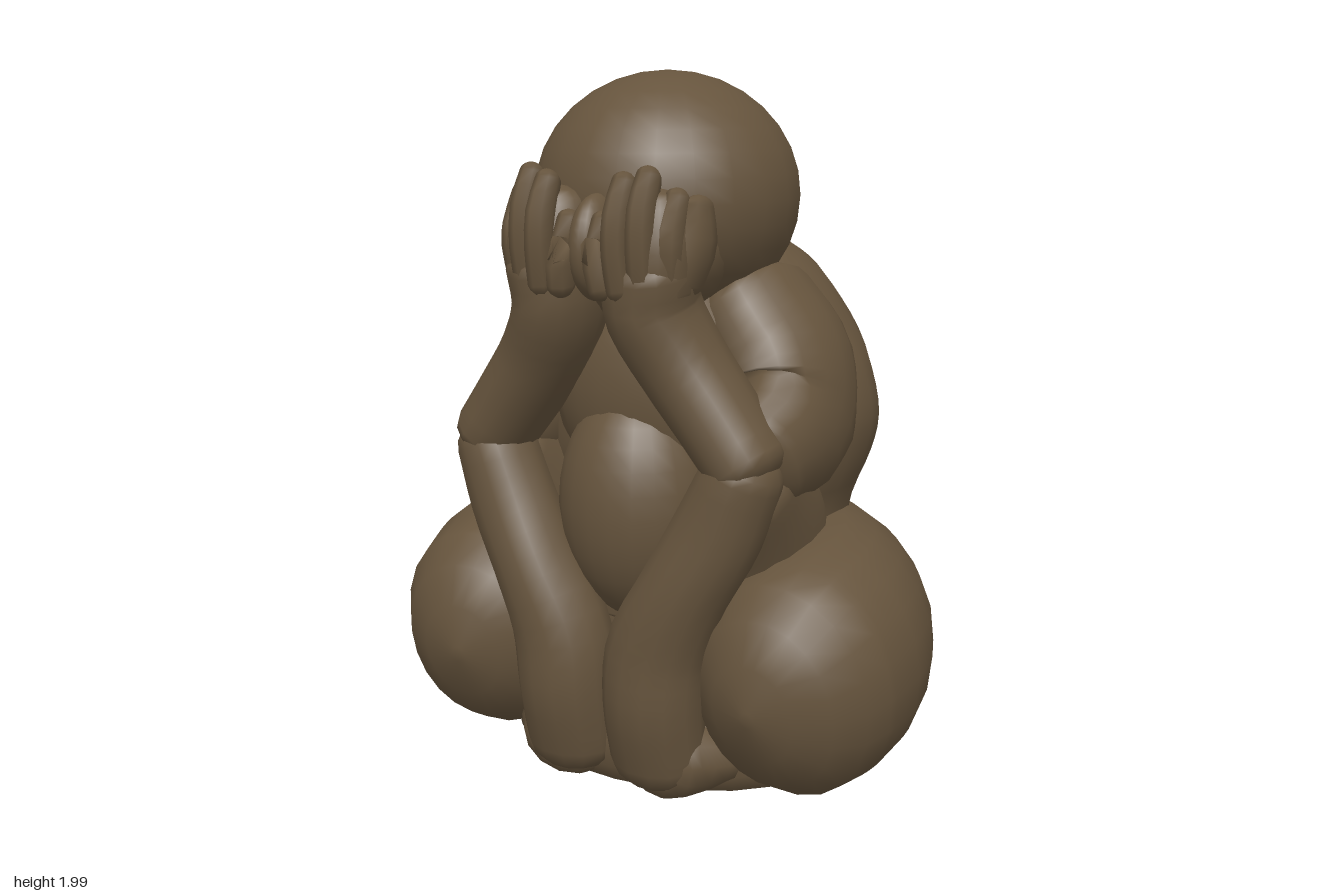
import * as THREE from 'three';

const clay = new THREE.MeshStandardMaterial({ color: 0x66543d });
clay.name = 'brown clay';

// Closed rounded sweep. rows: [x, y, z, radiusAcross, radiusOther]
function sweep(name, rows, { ref = [0, 0, 1], steps = 12, sides = 14, cap = 1, power = 2 } = {}) {
  const path = new THREE.CatmullRomCurve3(rows.map(r => new THREE.Vector3(r[0], r[1], r[2])));
  const size = new THREE.CatmullRomCurve3(rows.map((r, i) => new THREE.Vector3(r[3], r[4], i)));
  // Path parameter, cap offset and scale for each ring
  const stations = [];
  const capAngles = [86, 65, 43, 21].map(THREE.MathUtils.degToRad);
  for (const a of capAngles) stations.push([0, -Math.sin(a), Math.cos(a)]);
  for (let i = 0; i <= steps; i++) stations.push([i / steps, 0, 1]);
  for (const a of [...capAngles].reverse()) stations.push([1, Math.sin(a), Math.cos(a)]);

  const pos = [], index = [];
  const up = new THREE.Vector3(...ref);
  const bend = c => Math.sign(c) * Math.pow(Math.abs(c), 2 / power);
  for (const [t, off, scale] of stations) {
    const dir = path.getTangent(t), s = size.getPoint(t);
    const u = up.clone().cross(dir).normalize();
    const v = dir.clone().cross(u);
    const center = path.getPoint(t).addScaledVector(dir, off * Math.min(s.x, s.y) * cap);
    for (let j = 0; j < sides; j++) {
      const a = j / sides * Math.PI * 2;
      const p = center.clone()
        .addScaledVector(u, bend(Math.cos(a)) * s.x * scale)
        .addScaledVector(v, bend(Math.sin(a)) * s.y * scale);
      pos.push(p.x, p.y, p.z);
    }
  }
  const last = stations.length - 1;
  for (let i = 0; i < last; i++) {
    for (let j = 0; j < sides; j++) {
      const k = (j + 1) % sides;
      const a = i * sides + j, b = i * sides + k;
      index.push(a, b, b + sides, a, b + sides, a + sides);
    }
  }
  for (let j = 1; j < sides - 1; j++) {
    index.push(0, j + 1, j, last * sides, last * sides + j, last * sides + j + 1);
  }
  const g = new THREE.BufferGeometry();
  g.setAttribute('position', new THREE.Float32BufferAttribute(pos, 3));
  g.setIndex(index);
  g.computeVertexNormals();
  const mesh = new THREE.Mesh(g, clay);
  mesh.name = name;
  return mesh;
}

function ellipsoid(name, center, radii) {
  const g = new THREE.SphereGeometry(1, 22, 16);
  g.scale(...radii);
  const mesh = new THREE.Mesh(g, clay);
  mesh.position.set(...center);
  mesh.name = name;
  return mesh;
}

function createSide(s, name) {
  const side = new THREE.Group();
  side.name = name;
  const limb = (part, rows, opt) =>
    side.add(sweep(part, rows.map(r => [r[0] * s, ...r.slice(1)]), opt));

  // Heavy arm folded up towards the face
  limb('upperArm', [
    [0.24, 1.36, 0.00, 0.16, 0.22], [0.35, 1.22, 0.03, 0.17, 0.24],
    [0.40, 1.08, 0.10, 0.155, 0.23], [0.405, 1.00, 0.28, 0.12, 0.16],
  ], { cap: 0.6, sides: 18 });
  limb('forearm', [
    [0.40, 1.00, 0.36, 0.11, 0.13], [0.31, 1.12, 0.36, 0.115, 0.135],
    [0.215, 1.25, 0.37, 0.12, 0.14], [0.145, 1.39, 0.40, 0.125, 0.15],
    [0.15, 1.50, 0.43, 0.125, 0.13],
  ], { cap: 0.6 });

  // Hand pressed over the eyes
  limb('palm', [
    [0.15, 1.45, 0.43, 0.12, 0.11], [0.15, 1.55, 0.445, 0.125, 0.10],
    [0.15, 1.65, 0.43, 0.11, 0.085],
  ], { steps: 6, cap: 0.7 });
  [[0.052, 1.62, 0.535], [0.115, 1.72, 0.538], [0.175, 1.735, 0.52], [0.232, 1.68, 0.475]]
    .forEach(([x, tip, z]) => limb('finger', [
      [0.15 + (x - 0.15) * 0.9, 1.46, z - 0.015, 0.036, 0.042], [x, 1.55, z, 0.036, 0.045],
      [x, tip - 0.08, z - 0.01, 0.035, 0.05], [x, tip, z - 0.045, 0.030, 0.042],
    ], { steps: 6, sides: 8 }));
  limb('thumb', [
    [0.235, 1.47, 0.40, 0.045, 0.07], [0.265, 1.56, 0.385, 0.04, 0.075],
    [0.26, 1.66, 0.37, 0.03, 0.06],
  ], { steps: 5, sides: 8 });

  // Thigh flesh rising to the raised knee
  limb('kneeFold', [
    [0.32, 0.55, 0.02, 0.15, 0.22], [0.35, 0.74, 0.12, 0.14, 0.22],
    [0.385, 0.92, 0.29, 0.11, 0.15],
  ], { cap: 0.8 });

  // Lower leg from the raised knee to the foot
  limb('shin', [
    [0.14, 0.13, 0.38, 0.14, 0.11], [0.14, 0.30, 0.40, 0.145, 0.135],
    [0.155, 0.46, 0.405, 0.145, 0.13], [0.235, 0.64, 0.40, 0.125, 0.13],
    [0.325, 0.81, 0.385, 0.125, 0.12], [0.39, 0.97, 0.37, 0.11, 0.12],
  ], { cap: 0.8, steps: 16 });
  limb('foot', [
    [0.15, 0.14, 0.37, 0.15, 0.13], [0.18, 0.13, 0.25, 0.20, 0.11],
    [0.20, 0.13, 0.05, 0.21, 0.09],
  ], { ref: [0, 1, 0], cap: 0.6, steps: 6 });
  return side;
}

export function createModel() {
  const model = new THREE.Group();
  model.name = 'seatedFigure';

  model.add(ellipsoid('head', [0, 1.66, 0.07], [0.37, 0.34, 0.375]));
  model.add(ellipsoid('face', [0, 1.55, 0.24], [0.28, 0.22, 0.24]));
  model.add(ellipsoid('nose', [0, 1.55, 0.44], [0.06, 0.14, 0.11]));
  model.add(ellipsoid('chest', [0, 1.15, 0.12], [0.32, 0.36, 0.25]));
  model.add(ellipsoid('belly', [0, 0.82, 0.23], [0.23, 0.34, 0.23]));

  // Rounded back, narrowing to the waist and neck
  model.add(sweep('torso', [
    [0, 0.45, -0.09, 0.44, 0.36], [0, 0.77, -0.11, 0.47, 0.355],
    [0, 0.93, -0.11, 0.53, 0.39], [0, 1.06, -0.12, 0.55, 0.40],
    [0, 1.20, -0.13, 0.51, 0.375], [0, 1.33, -0.11, 0.43, 0.345],
    [0, 1.43, -0.08, 0.35, 0.29], [0, 1.49, -0.06, 0.28, 0.22],
  ], { cap: 0.12, steps: 24, sides: 28 }));

  // Flat underside filling the space between the thighs, lower at the front
  model.add(sweep('seat', [
    [0, 0.065, -0.01, 0.54, 0.40], [0, 0.18, 0.0, 0.54, 0.42], [0, 0.32, 0.01, 0.47, 0.38],
  ], { cap: 0.06, steps: 5, sides: 28 }));

  // Wide hips and thighs curving round to the front
  const half = [
    [0.49, 0.385, 0.23, 0.29, 0.335], [0.50, 0.40, 0.12, 0.30, 0.35],
    [0.475, 0.41, -0.02, 0.30, 0.36], [0.36, 0.415, -0.16, 0.30, 0.365],
    [0.19, 0.415, -0.25, 0.30, 0.365],
  ];
  const flip = half.map(([x, ...rest]) => [-x, ...rest]).reverse();
  model.add(sweep('hipsAndThighs', [...half, [0, 0.415, -0.275, 0.30, 0.36], ...flip],
    { ref: [0, 1, 0], cap: 0.9, steps: 30, sides: 22, power: 2.05 }));

  model.add(createSide(1, 'leftLimbs'), createSide(-1, 'rightLimbs'));
  return model;
}
